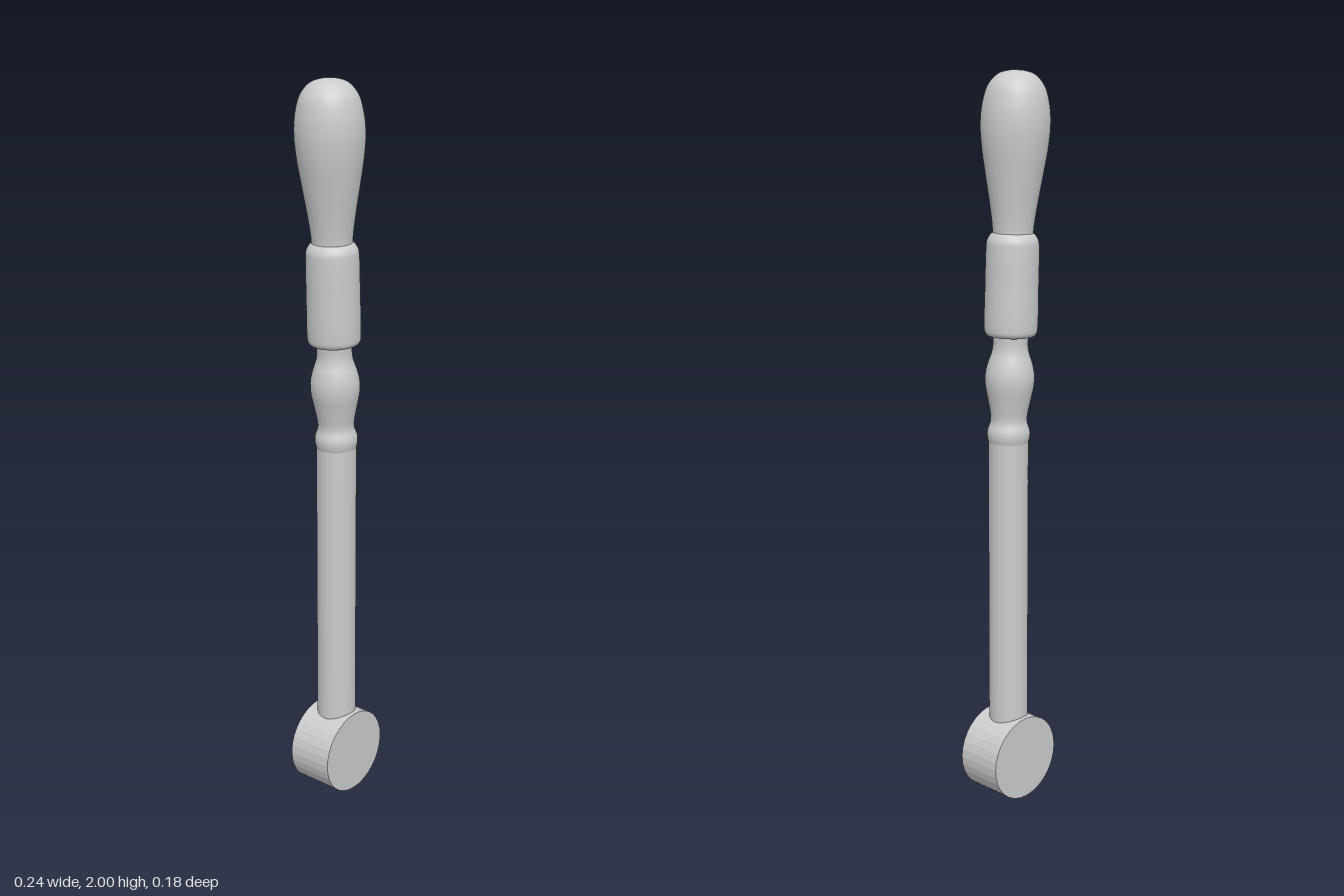
import * as THREE from 'three';

const SIDES = 48;

function makeMaterial(flatShading = false) {
  return new THREE.MeshStandardMaterial({ color: 0xcccccc, flatShading });
}

function addMesh(parent, name, geometry, flat) {
  const mesh = new THREE.Mesh(geometry, makeMaterial(flat));
  mesh.name = name;
  parent.add(mesh);
  return mesh;
}

// Turned part: a smooth curve through [radius, height] points
function turned(points, samples) {
  const curve = new THREE.CatmullRomCurve3(
    points.map(([r, y]) => new THREE.Vector3(r, y, 0)), false, 'centripetal');
  const profile = curve.getPoints(samples).map((p) => new THREE.Vector2(Math.max(p.x, 0), p.y));
  return new THREE.LatheGeometry(profile, SIDES);
}

export function createModel() {
  const model = new THREE.Group();
  model.name = 'handledTool';

  // Faceted drum at the foot, its axis running front to back
  const drum = addMesh(model, 'drumHead', new THREE.CylinderGeometry(0.119, 0.119, 0.133, 32), true);
  drum.rotation.x = Math.PI / 2;
  drum.position.y = 0.119;

  // Straight shaft
  const shaft = addMesh(model, 'shaft', new THREE.CylinderGeometry(0.054, 0.054, 0.82, SIDES));
  shaft.position.y = 0.63;

  // The turned upper half leans slightly, starting from the end of the shaft
  const upper = new THREE.Group();
  upper.name = 'upperHandle';
  upper.position.y = 1.03;
  upper.rotation.z = 0.031;
  model.add(upper);

  // Bead and bulging collar
  addMesh(upper, 'collar', turned([
    [0.052, -0.01], [0.057, 0.01], [0.057, 0.028], [0.05, 0.05], [0.049, 0.065],
    [0.057, 0.11], [0.065, 0.15], [0.066, 0.18], [0.06, 0.21],
    [0.05, 0.24], [0.047, 0.26], [0.048, 0.3],
  ], 48));

  // Ferrule with rounded shoulders
  addMesh(upper, 'ferrule', turned([
    [0.045, 0.285], [0.062, 0.286], [0.069, 0.294], [0.071, 0.305], [0.071, 0.42],
    [0.07, 0.52], [0.068, 0.537], [0.06, 0.551], [0.052, 0.558],
  ], 48));

  // Pear-shaped grip
  addMesh(upper, 'grip', turned([
    [0.053, 0.53], [0.054, 0.565], [0.061, 0.62], [0.076, 0.71], [0.087, 0.78],
    [0.091, 0.835], [0.087, 0.885], [0.073, 0.932], [0.048, 0.96], [0.022, 0.969], [0, 0.971],
  ], 56));

  return model;
}
